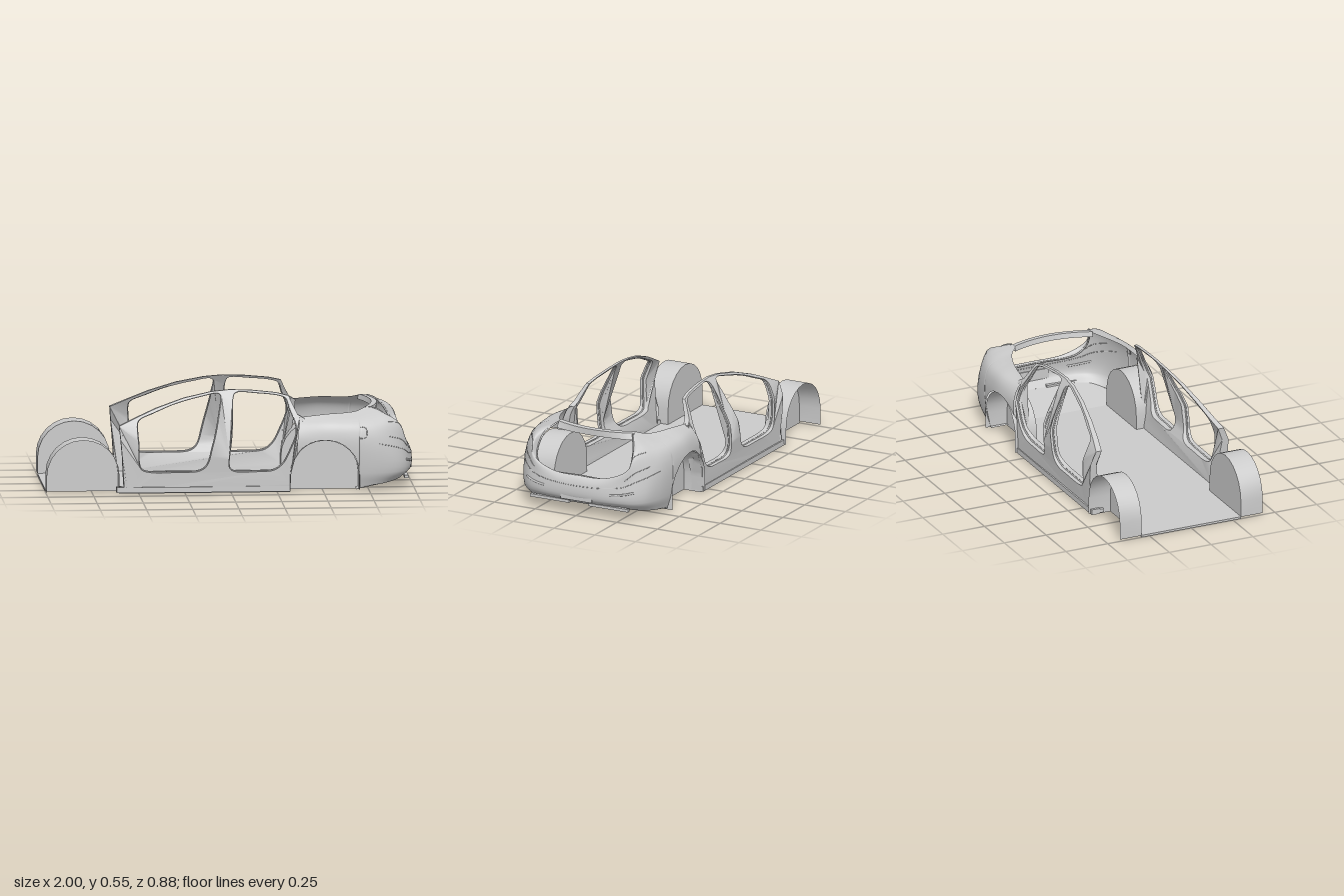
import * as THREE from 'three';
import { toCreasedNormals } from 'three/addons/utils/BufferGeometryUtils.js';

const material = new THREE.MeshStandardMaterial({ color: 0xcccccc, side: THREE.DoubleSide });
const V3 = (x, y, z) => new THREE.Vector3(x, y, z);
const V2 = (x, y) => new THREE.Vector2(x, y);

function mesh(name, geometry) {
  const m = new THREE.Mesh(geometry, material);
  m.name = name;
  return m;
}

// Surface through rows of points
function loft(rows) {
  const n = rows[0].length, index = [];
  for (let i = 0; i < rows.length - 1; i++) {
    for (let j = 0; j < n - 1; j++) {
      const a = i * n + j, b = a + n;
      index.push(a, a + 1, b, b, a + 1, b + 1);
    }
  }
  const g = new THREE.BufferGeometry().setFromPoints(rows.flat());
  g.setIndex(index);
  g.computeVertexNormals();
  return g;
}

// Linear interpolation through [key, value] pairs
function lookup(table, k) {
  for (let i = 1; i < table.length; i++) {
    const [k0, v0] = table[i - 1], [k1, v1] = table[i];
    if (k <= k1) return v0 + (v1 - v0) * Math.max(0, (k - k0) / (k1 - k0));
  }
  return table[table.length - 1][1];
}

function tube(name, points, radius) {
  const curve = new THREE.CatmullRomCurve3(points);
  return mesh(name, new THREE.TubeGeometry(curve, points.length * 3, radius, 6));
}

function box(name, w, h, d, x, y, z) {
  const m = mesh(name, new THREE.BoxGeometry(w, h, d));
  m.position.set(x, y, z);
  return m;
}

// Outline with every straight segment split into short steps
function densify(points, step = 0.02) {
  return points.flatMap(([x, y], i) => {
    const [x1, y1] = points[(i + 1) % points.length];
    const n = Math.ceil(Math.hypot(x1 - x, y1 - y) / step);
    return Array.from({ length: n }, (_, k) => V2(x + (x1 - x) * k / n, y + (y1 - y) * k / n));
  });
}

function smoothLoop(points) {
  const c = new THREE.CatmullRomCurve3(points.map(([x, y]) => V3(x, y, 0)), true);
  return c.getPoints(90).slice(0, 90).map(p => V2(p.x, p.y));
}

// Door frame: flat outline with two openings, bent inward towards the roof
function doorFrame() {
  const shape = new THREE.Shape(densify([
    [-0.62, 0.01], [0.32, 0.01], [0.325, 0.1], [0.345, 0.18], [0.385, 0.24], [0.4, 0.32], [0.4, 0.395],
    [0.365, 0.415], [0.335, 0.475], [0.318, 0.512], [0.25, 0.528], [0.12, 0.541], [0, 0.545],
    [-0.1, 0.536], [-0.25, 0.505], [-0.4, 0.455], [-0.5, 0.412], [-0.605, 0.365],
    [-0.59, 0.2], [-0.58, 0.035], [-0.62, 0.03]]));
  const front = [[-0.505, 0.38], [-0.5, 0.25], [-0.498, 0.165], [-0.485, 0.13], [-0.45, 0.116],
    [-0.3, 0.113], [-0.17, 0.12], [-0.13, 0.15], [-0.1, 0.25], [-0.075, 0.35], [-0.055, 0.45],
    [-0.046, 0.515], [-0.065, 0.528], [-0.15, 0.515], [-0.3, 0.477], [-0.42, 0.43], [-0.49, 0.4]];
  const rear = [[-0.012, 0.16], [0, 0.28], [0.01, 0.4], [0.014, 0.5], [0.03, 0.53], [0.15, 0.528],
    [0.27, 0.514], [0.303, 0.5], [0.325, 0.44], [0.352, 0.37], [0.355, 0.32], [0.325, 0.24],
    [0.28, 0.155], [0.23, 0.12], [0.12, 0.113], [0.02, 0.115], [-0.006, 0.13]];
  shape.holes = [front, rear].map(h => new THREE.Path(smoothLoop(h)));

  const outer = [[0, 0.405], [0.05, 0.412], [0.1, 0.405], [0.2, 0.413], [0.29, 0.413], [0.36, 0.385],
    [0.4, 0.362], [0.45, 0.337], [0.5, 0.31], [0.545, 0.28]];
  const thickness = [[0.1, 0.065], [0.16, 0.04], [0.35, 0.035], [0.545, 0.016]];
  const bend = (y, t) => lookup(outer, y) - (1 - t) * lookup(thickness, y);
  const g = new THREE.ExtrudeGeometry(shape, { depth: 1, steps: 2, bevelEnabled: false });
  const p = g.attributes.position;
  for (let i = 0; i < p.count; i++) p.setZ(i, bend(p.getY(i), p.getZ(i)));

  const group = new THREE.Group();
  group.name = 'doorFrame';
  group.add(mesh('sidePanel', toCreasedNormals(g, 0.6)));
  // Raised seal around each opening
  for (const h of [front, rear]) {
    const pts = smoothLoop(h).map(q => V3(q.x, q.y, bend(q.y, 0.55)));
    const curve = new THREE.CatmullRomCurve3(pts, true);
    group.add(mesh('doorSeal', new THREE.TubeGeometry(curve, 120, 0.005, 5, true)));
  }
  group.add(box('sillSkirt', 0.94, 0.03, 0.05, -0.15, 0.02, 0.39));
  return group;
}

// Wheel well: faceted arch, open outwards and below, with an inner wall
function wheelWell(name, cx, cy, r) {
  const arc = [V2(cx + r, 0.01)];
  for (let i = 0; i <= 12; i++) {
    const a = Math.PI * i / 12;
    arc.push(V2(cx + r * Math.cos(a), cy + r * Math.sin(a)));
  }
  arc.push(V2(cx - r, 0.01));
  const group = new THREE.Group();
  group.name = name;
  const rim = loft([0.297, 0.427].map(z => arc.map(p => V3(p.x, p.y, z))));
  const wall = new THREE.ShapeGeometry(new THREE.Shape(arc));
  wall.translate(0, 0, 0.297);
  group.add(mesh('arch', toCreasedNormals(rim, 0.3)), mesh('innerWall', wall));
  return group;
}

// Rear body: lines running from the left door, round the tail, to the right door
const halfLines = {
  bottom: [[0.35, 0.03, 0.39], [0.52, 0.03, 0.4], [0.62, 0.03, 0.4], [0.7, 0.03, 0.4], [0.8, 0.035, 0.38],
    [0.87, 0.045, 0.345], [0.915, 0.055, 0.3], [0.935, 0.06, 0.24], [0.95, 0.06, 0.13], [0.955, 0.06, 0]],
  bumper: [[0.35, 0.1, 0.405], [0.52, 0.1, 0.42], [0.62, 0.1, 0.42], [0.7, 0.1, 0.42], [0.81, 0.1, 0.405],
    [0.9, 0.1, 0.37], [0.95, 0.1, 0.32], [0.977, 0.1, 0.25], [0.993, 0.1, 0.14], [0.998, 0.1, 0]],
  belt: [[0.36, 0.29, 0.415], [0.52, 0.29, 0.436], [0.62, 0.29, 0.435], [0.705, 0.29, 0.428], [0.8, 0.285, 0.408],
    [0.875, 0.265, 0.375], [0.935, 0.24, 0.325], [0.967, 0.205, 0.265], [0.99, 0.185, 0.14], [0.997, 0.18, 0]],
  shoulder: [[0.37, 0.36, 0.387], [0.52, 0.37, 0.408], [0.62, 0.37, 0.405], [0.71, 0.37, 0.393], [0.79, 0.375, 0.367],
    [0.86, 0.38, 0.335], [0.91, 0.365, 0.307], [0.945, 0.285, 0.287], [0.965, 0.228, 0.17], [0.975, 0.217, 0]],
  top: [[0.38, 0.4, 0.345], [0.53, 0.413, 0.325], [0.62, 0.415, 0.3], [0.69, 0.42, 0.268], [0.745, 0.435, 0.225],
    [0.8, 0.425, 0.24], [0.855, 0.385, 0.275], [0.92, 0.275, 0.282], [0.94, 0.222, 0.23], [0.95, 0.214, 0]],
};
const SPANS = 18;
const lines = Object.values(halfLines).map(half => new THREE.CatmullRomCurve3([
  ...half.map(p => V3(...p)),
  ...half.slice(0, -1).reverse().map(([x, y, z]) => V3(x, y, -z))]));
const section = s => new THREE.CatmullRomCurve3(lines.map(l => l.getPoint(s / SPANS)));

// Rows of one section, starting above the wheel arch where there is one
function bodyColumn(s) {
  const c = section(s), x = c.getPoint(0.4).x, dx = x - 0.507;
  let v0 = 0;
  if (Math.abs(dx) < 0.189) {
    const arch = 0.095 + Math.sqrt(0.189 ** 2 - dx * dx);
    while (v0 < 0.9 && c.getPoint(v0).y < arch) v0 += 0.004;
  }
  return Array.from({ length: 21 }, (_, j) => c.getPoint(v0 + (1 - v0) * j / 20));
}

function rearBody() {
  const group = new THREE.Group();
  group.name = 'rearBody';
  const N = SPANS * 14, columns = [];
  for (let i = 0; i <= N; i++) columns.push(bodyColumn(i * SPANS / N));
  group.add(mesh('quarterPanelsAndBumper', loft(columns)));

  // Underside rising from the floor to the bumper's lower edge
  const edge = [];
  for (let s = 3; s <= 15; s += 0.25) edge.push(lines[0].getPoint(s / SPANS));
  group.add(mesh('rearUndertray', loft([edge, edge.map(p => V3(0.68, 0.01, p.z))])));

  // Cross bar above the tail opening
  const bar = [];
  for (let i = 0; i <= 20; i++) {
    const k = i / 10 - 1, b = 0.05 * (1 - k * k), z = k * 0.232;
    bar.push([[0.728, 0.41], [0.735, 0.438], [0.765, 0.436], [0.785 - b * 0.4, 0.402], [0.728, 0.41]]
      .map(([x, y]) => V3(x + b, y, z)));
  }
  group.add(mesh('rearCrossBar', toCreasedNormals(loft(bar), 0.6)));

  // Raised lip round the tail opening
  const lip = [];
  for (let s = 4.6; s <= 13.4; s += 0.2) lip.push(lines[4].getPoint(s / SPANS));
  group.add(tube('tailOpeningLip', lip, 0.005));

  // Seams and reflectors following the surface
  const follow = (name, s0, s1, v, r) => {
    const pts = Array.from({ length: 15 }, (_, i) => section(s0 + (s1 - s0) * i / 14).getPoint(v));
    group.add(tube(name, pts, r));
  };
  follow('bumperSeam', 4, 14, 0.46, 0.002);
  for (const m of [s => s, s => SPANS - s]) {
    follow('reflector', m(6), m(7.5), 0.37, 0.006);
    follow('lampSeam', m(4.8), m(6.9), 0.55, 0.002);
    follow('lampSeam', m(4.8), m(6.6), 0.72, 0.002);
  }
  group.add(box('plateRecess', 0.006, 0.065, 0.19, 0.996, 0.117, 0));
  for (const z of [-0.18, 0.18]) {
    group.add(box('diffuserVent', 0.02, 0.016, 0.24, 0.957, 0.062, z));
  }

  // Fuel door outline on the left side
  const flap = [];
  for (let i = 0; i < 24; i++) {
    const a = i / 24 * Math.PI * 2, sq = t => Math.sign(t) * Math.abs(t) ** 0.6;
    const y = 0.322 + 0.03 * sq(Math.sin(a));
    flap.push(V3(0.695 + 0.04 * sq(Math.cos(a)), y, 0.428 - Math.max(0, y - 0.292) * 0.35));
  }
  const ring = new THREE.CatmullRomCurve3(flap, true);
  group.add(mesh('fuelDoorSeam', new THREE.TubeGeometry(ring, 48, 0.002, 5, true)));
  return group;
}

// Flat floor, narrower between the wheel wells
function floor() {
  const half = [[-1, 0.297], [-0.605, 0.297], [-0.605, 0.4], [0.32, 0.4], [0.32, 0.297], [0.69, 0.297]];
  const outline = [...half, ...half.slice().reverse().map(([x, z]) => [x, -z])];
  const g = new THREE.ExtrudeGeometry(new THREE.Shape(outline.map(p => V2(...p))),
    { depth: 0.012, bevelEnabled: false });
  g.rotateX(Math.PI / 2);
  g.translate(0, 0.012, 0);
  return mesh('floor', g);
}

export function createModel() {
  const model = new THREE.Group();
  model.name = 'carBodyShell';
  const left = new THREE.Group();
  left.name = 'nearSide';
  left.add(doorFrame(), wheelWell('frontWheelWell', -0.8025, 0.1, 0.1965), wheelWell('rearWheelWell', 0.507, 0.095, 0.188));
  const right = left.clone();
  right.name = 'farSide';
  right.scale.z = -1;
  model.add(floor(), left, right, rearBody());
  return model;
}
